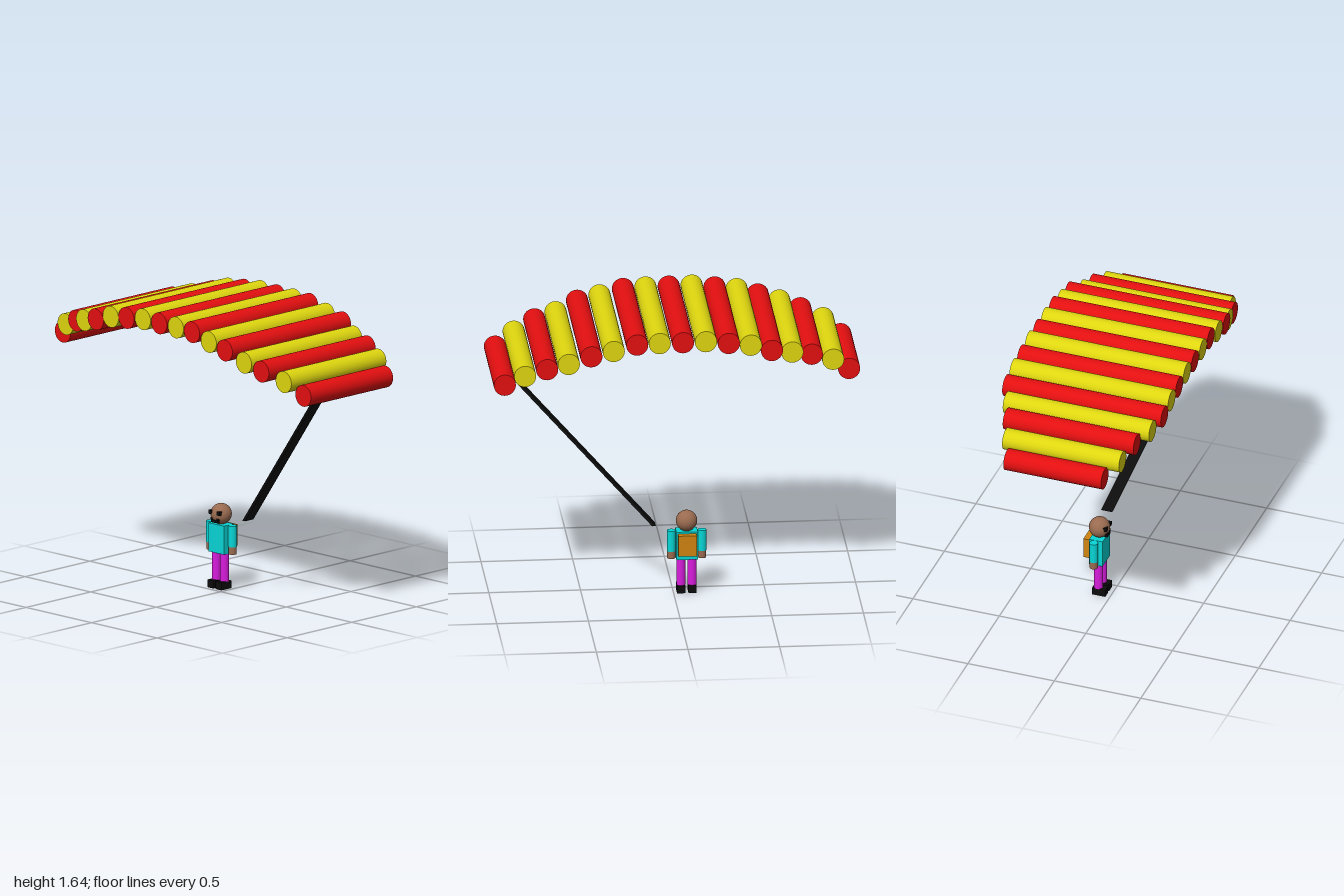
import * as THREE from 'three';

const mat = (name, color) => new THREE.MeshStandardMaterial({ name, color });

export function createModel() {
  const red = mat('red', 0xe30f10), yellow = mat('yellow', 0xded60f);
  const cyan = mat('cyan', 0x08d6d6), magenta = mat('magenta', 0xd81cdc);
  const skin = mat('skin', 0x9a6b50), black = mat('black', 0x0c0c0c), orange = mat('orange', 0xd08410);
  const model = new THREE.Group();
  model.name = 'parachutist';

  const add = (parent, name, geometry, material, x, y, z) => {
    const mesh = new THREE.Mesh(geometry, material);
    mesh.name = name;
    mesh.position.set(x, y, z);
    parent.add(mesh);
    return mesh;
  };
  const box = (w, h, d) => new THREE.BoxGeometry(w, h, d);
  const cyl = (r, h) => new THREE.CylinderGeometry(r, r, h, 32);

  // Canopy: parallel tubes in an arch, each [x, y, zBack, zFront]
  const canopy = new THREE.Group();
  canopy.name = 'canopy';
  model.add(canopy);
  const tubes = [
    [-0.94, 1.34, -0.295, 0.27], [-0.85, 1.41, -0.335, 0.34], [-0.73, 1.457, -0.375, 0.38],
    [-0.62, 1.487, -0.415, 0.43], [-0.505, 1.516], [-0.39, 1.55], [-0.27, 1.564],
    [-0.145, 1.578], [-0.02, 1.576], [0.107, 1.575], [0.23, 1.57], [0.358, 1.537],
    [0.48, 1.51], [0.6, 1.457, -0.425, 0.43], [0.717, 1.425, -0.41, 0.415],
    [0.834, 1.377, -0.375, 0.36], [0.94, 1.31, -0.32, 0.315],
  ];
  tubes.forEach(([x, y, back = -0.46, front = 0.457], i) => {
    const tube = add(canopy, 'canopyTube', cyl(0.06, front - back), i % 2 ? yellow : red, x, y, (front + back) / 2);
    tube.rotation.x = Math.PI / 2;
  });

  // Flat strap: an upright box sheared toward the end tube
  const foot = new THREE.Vector3(0.11, 0.403, -0.098), tip = new THREE.Vector3(0.94, 1.28, 0.19);
  const height = tip.y - foot.y;
  const strap = box(0.021, height, 0.064);
  strap.applyMatrix4(new THREE.Matrix4().set(
    1, (tip.x - foot.x) / height, 0, 0,
    0, 1, 0, 0,
    0, (tip.z - foot.z) / height, 1, 0,
    0, 0, 0, 1));
  strap.computeVertexNormals();
  const middle = foot.clone().add(tip).multiplyScalar(0.5);
  add(model, 'strap', strap, black, middle.x, middle.y, middle.z);

  // Jumper, built around its own centre line
  const jumper = new THREE.Group();
  jumper.name = 'jumper';
  jumper.position.set(-0.072, 0, -0.076);
  model.add(jumper);
  add(jumper, 'head', new THREE.SphereGeometry(0.058, 32, 24), skin, 0, 0.412, 0);
  add(jumper, 'torso', box(0.118, 0.16, 0.078), cyan, 0, 0.278, 0);
  add(jumper, 'backpack', box(0.1, 0.118, 0.037), orange, 0, 0.289, -0.057);

  // Paired limbs and eyes
  for (const s of [-1, 1]) {
    add(jumper, 'sleeve', cyl(0.0235, 0.118), cyan, s * 0.084, 0.3, -0.003);
    add(jumper, 'hand', cyl(0.0225, 0.042), skin, s * 0.084, 0.221, -0.003);
    add(jumper, 'leg', cyl(0.0245, 0.157), magenta, s * 0.031, 0.12, 0.005);
    add(jumper, 'shoe', box(0.045, 0.043, 0.076), black, s * 0.031, 0.0215, 0.014);
    add(jumper, 'eye', box(0.022, 0.022, 0.02), black, s * 0.03, 0.425, 0.046);
    add(jumper, 'mouthCorner', box(0.014, 0.012, 0.016), black, s * 0.023, 0.389, 0.045);
  }
  add(jumper, 'mouth', box(0.05, 0.016, 0.018), black, 0, 0.378, 0.046);
  return model;
}
